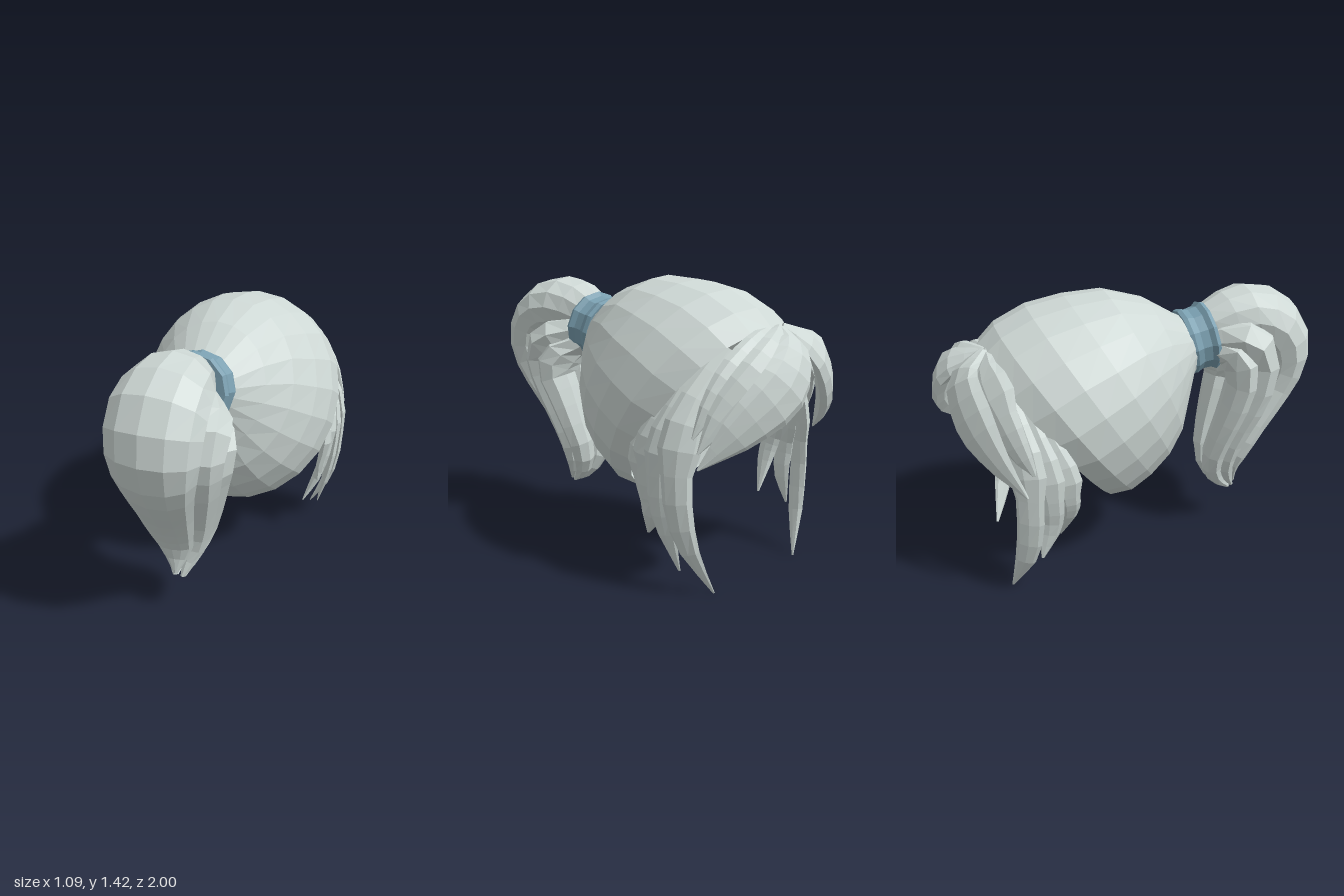
import * as THREE from 'three';

const V = (x, y, z) => new THREE.Vector3(x, y, z);

// Skins a list of equal-length closed rings of Vector3
function loft(rings) {
  const n = rings[0].length, index = [];
  for (let i = 0; i < rings.length - 1; i++) {
    for (let j = 0; j < n; j++) {
      const a = i * n + j, b = i * n + (j + 1) % n;
      index.push(a, b, b + n, a, b + n, a + n);
    }
  }
  const g = new THREE.BufferGeometry().setFromPoints(rings.flat());
  g.setIndex(index);
  const flat = g.toNonIndexed();
  flat.computeVertexNormals();
  return flat;
}

const HEAD = V(0.02, 0.85, -0.35);

// Lock of hair: rows are [x, y, z, halfWidth, halfThickness].
// It lies flat against the head unless a width direction is given.
function lock(rows, widthDir, segments = 10, sides = 8) {
  const path = new THREE.CatmullRomCurve3(rows.map(r => V(r[0], r[1], r[2])));
  const size = new THREE.CatmullRomCurve3(rows.map(r => V(r[3], r[4], 0)));
  const rings = [];
  for (let i = 0; i <= segments; i++) {
    const u = i / segments, p = path.getPoint(u), t = path.getTangent(u), k = size.getPoint(u);
    const s = widthDir ? widthDir.clone() : V(0, 0, 0).crossVectors(t, p.clone().sub(HEAD));
    s.addScaledVector(t, -s.dot(t)).normalize();
    const m = V(0, 0, 0).crossVectors(t, s);
    const ring = [];
    for (let j = 0; j < sides; j++) {
      const a = j / sides * Math.PI * 2;
      ring.push(p.clone()
        .addScaledVector(s, Math.cos(a) * Math.max(k.x, 0.002))
        .addScaledVector(m, Math.sin(a) * Math.max(k.y, 0.002)));
    }
    if (i === 0) rings.push(ring.map(() => p.clone()));
    rings.push(ring);
    if (i === segments) rings.push(ring.map(() => p.clone()));
  }
  return loft(rings);
}

export function createModel() {
  const hair = new THREE.MeshStandardMaterial({ color: 0xced8d5, flatShading: true, side: THREE.DoubleSide });
  hair.name = 'paleHair';
  const blue = new THREE.MeshStandardMaterial({ color: 0x7a9fb0, flatShading: true, side: THREE.DoubleSide });
  blue.name = 'blueBand';

  const model = new THREE.Group();
  model.name = 'ponytailHair';
  const add = (name, geometry, material = hair, parent = model) => {
    const mesh = new THREE.Mesh(geometry, material);
    mesh.name = name;
    parent.add(mesh);
    return mesh;
  };
  const group = name => {
    const g = new THREE.Group();
    g.name = name;
    model.add(g);
    return g;
  };

  // Scalp shell: tilted rings from the band to the hairline [topZ, topY, bottomZ, bottomY, halfWidth]
  const scalp = [
    [0.30, 1.25, 0.37, 0.99, 0.14],
    [0.25, 1.27, 0.33, 0.93, 0.185],
    [0.08, 1.37, 0.30, 0.78, 0.29],
    [-0.13, 1.425, 0.27, 0.64, 0.39],
    [-0.33, 1.41, 0.20, 0.52, 0.47],
    [-0.52, 1.37, 0.10, 0.42, 0.515],
    [-0.68, 1.29, 0.00, 0.35, 0.52],
    [-0.77, 1.20, -0.11, 0.33, 0.47],
  ];
  add('scalpHair', loft(scalp.map(([tz, ty, bz, by, w]) => {
    const ring = [];
    for (let j = 0; j < 22; j++) {
      const a = -j / 22 * Math.PI * 2, c = Math.cos(a), s = Math.sin(a);
      // the lower half is a little narrower on the right
      const half = c < 0 && s < 0 ? w * (1 + 0.14 * c) : w;
      ring.push(V(0.022 + half * s, (ty + by) / 2 + c * (ty - by) / 2, (tz + bz) / 2 + c * (tz - bz) / 2));
    }
    return ring;
  })));

  // Waisted hair band with flared ends
  const profile = [[0.13, -0.07], [0.172, -0.072], [0.178, -0.05], [0.164, -0.015], [0.168, 0.03], [0.186, 0.055], [0.176, 0.075], [0.12, 0.07]];
  const band = add('hairBand', new THREE.LatheGeometry(profile.map(p => new THREE.Vector2(...p)), 12), blue);
  band.rotation.x = Math.PI / 2 - 0.22;
  band.position.set(0.03, 1.13, 0.368);

  // Ponytail: a large outer lock with narrower locks tucked under it
  const tail = group('ponytail');
  const across = V(1, 0, 0);
  add('outerTailLock', lock([
    [0.03, 1.15, 0.38, 0.11, 0.11],
    [0.03, 1.215, 0.52, 0.16, 0.15],
    [0.04, 1.235, 0.68, 0.21, 0.165],
    [0.04, 1.16, 0.81, 0.23, 0.16],
    [0.04, 1.00, 0.86, 0.22, 0.14],
    [0.03, 0.83, 0.81, 0.18, 0.11],
    [0.01, 0.66, 0.71, 0.15, 0.085],
    [0.00, 0.50, 0.63, 0.125, 0.06],
    [0.01, 0.38, 0.59, 0.09, 0.04],
    [0.02, 0.25, 0.62, 0.01, 0.01],
  ], across, 16, 12), hair, tail);

  // Side locks of the tail bulge high on the right and lower on the left
  for (const [side, drop] of [[1, -0.04], [-1, 0.04]]) {
    const x = d => 0.03 + side * d;
    add('middleTailLock', lock([
      [x(0.03), 1.13, 0.39, 0.08, 0.07],
      [x(0.10), 1.12 + drop, 0.56, 0.13, 0.10],
      [x(0.14), 1.03 + drop, 0.67, 0.13, 0.10],
      [x(0.13), 0.85, 0.665, 0.12, 0.09],
      [x(0.10), 0.66, 0.60, 0.10, 0.08],
      [x(0.07), 0.48, 0.55, 0.08, 0.06],
      [x(0.05), 0.35, 0.55, 0.055, 0.045],
      [x(0.02), 0.23, 0.61, 0.01, 0.01],
    ], across, 12), hair, tail);
    add('innerTailLock', lock([
      [x(0.03), 1.08, 0.41, 0.08, 0.06],
      [x(0.11), 1.04 + drop, 0.53, 0.12, 0.08],
      [x(0.15), 0.93 + drop, 0.575, 0.12, 0.08],
      [x(0.13), 0.77, 0.545, 0.11, 0.075],
      [x(0.10), 0.60, 0.495, 0.09, 0.065],
      [x(0.06), 0.42, 0.465, 0.07, 0.06],
      [x(0.03), 0.30, 0.51, 0.045, 0.045],
      [x(0.02), 0.22, 0.59, 0.01, 0.01],
    ], across, 12), hair, tail);
  }

  // Swept fringe, parted off centre
  const fringe = group('fringe');
  const fringeLocks = [
    [[-0.08, 1.20, -0.75, 0.03, 0.02], [-0.18, 1.11, -0.86, 0.12, 0.04], [-0.31, 0.96, -0.84, 0.14, 0.045],
      [-0.43, 0.80, -0.76, 0.09, 0.03], [-0.55, 0.64, -0.64, 0.005, 0.005]],
    [[-0.07, 1.19, -0.74, 0.03, 0.02], [-0.22, 1.12, -0.76, 0.09, 0.03], [-0.37, 0.97, -0.71, 0.09, 0.03],
      [-0.45, 0.82, -0.65, 0.06, 0.02], [-0.50, 0.68, -0.58, 0.005, 0.005]],
    [[-0.07, 1.19, -0.75, 0.03, 0.02], [0.04, 1.11, -0.91, 0.10, 0.04], [0.17, 0.97, -0.945, 0.13, 0.045],
      [0.34, 0.81, -0.87, 0.10, 0.03], [0.49, 0.63, -0.74, 0.005, 0.005]],
    [[-0.07, 1.19, -0.75, 0.03, 0.02], [0.09, 1.14, -0.86, 0.08, 0.035], [0.25, 1.02, -0.87, 0.10, 0.04],
      [0.39, 0.87, -0.80, 0.07, 0.03], [0.49, 0.70, -0.74, 0.005, 0.005]],
    [[-0.04, 1.19, -0.74, 0.03, 0.02], [0.13, 1.14, -0.79, 0.07, 0.03], [0.29, 1.04, -0.79, 0.08, 0.03],
      [0.41, 0.91, -0.75, 0.05, 0.025], [0.49, 0.76, -0.71, 0.005, 0.005]],
  ];
  fringeLocks.forEach(rows => add('fringeLock', lock(rows), hair, fringe));

  // Long locks in front of the ears: centre paths, tapering to the tips
  const sideLocks = group('sideLocks');
  const taper = [0.05, 0.072, 0.072, 0.06, 0.006];
  const paths = [
    [[0.24, 1.12, -0.70], [0.43, 0.86, -0.64], [0.49, 0.58, -0.62], [0.45, 0.27, -0.64], [0.33, 0.01, -0.71]],
    [[0.34, 1.04, -0.63], [0.45, 0.81, -0.57], [0.49, 0.56, -0.53], [0.465, 0.33, -0.53], [0.41, 0.10, -0.57]],
    [[0.40, 0.95, -0.56], [0.47, 0.76, -0.49], [0.48, 0.57, -0.45], [0.45, 0.40, -0.44], [0.39, 0.22, -0.48]],
    [[0.42, 0.87, -0.49], [0.47, 0.70, -0.43], [0.47, 0.53, -0.41], [0.44, 0.37, -0.425], [0.38, 0.22, -0.34]],
  ];
  const rightTips = [[-0.30, 0.01, -0.71], [-0.43, 0.23, -0.57], [-0.33, 0.29, -0.46]];
  paths.forEach((path, k) => {
    const rows = path.map((p, i) => [...p, taper[i], taper[i] * 0.4]);
    add('leftSideLock', lock(rows), hair, sideLocks);
    if (!rightTips[k]) return;
    const mirrored = rows.map(([x, y, z, w, t]) => [0.03 - x, y, z, w, t]);
    mirrored[4].splice(0, 3, ...rightTips[k]);
    if (k > 0) mirrored[3][1] += 0.07;
    add('rightSideLock', lock(mirrored), hair, sideLocks);
  });

  return model;
}
